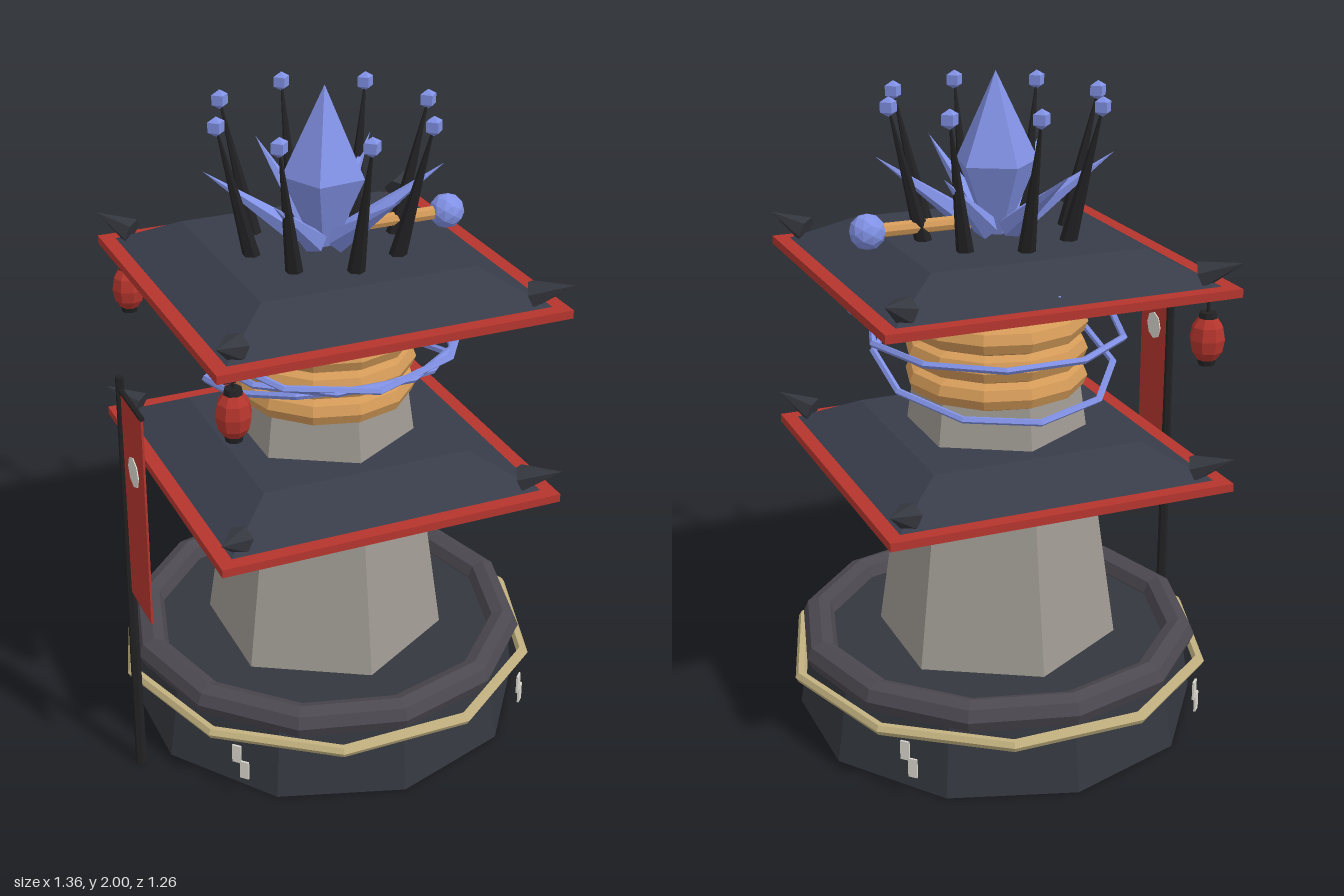
import * as THREE from 'three';

const mat = (color, opts = {}) => new THREE.MeshStandardMaterial({ color, flatShading: true, ...opts });
const STONE = mat(0x9f9a92), BASE = mat(0x34373e), TRIM = mat(0x4c4850), BRASS = mat(0xc2b180);
const ROOF = mat(0x383c4a), RED = mat(0xb5352d), AMBER = mat(0xd39a58), BLUE = mat(0x8292e6);
const BLACK = mat(0x222224), PALE = mat(0xdcd9d0), CLOTH = mat(0xb5352d, { side: THREE.DoubleSide });
const UP = new THREE.Vector3(0, 1, 0);

export function createModel() {
  const root = new THREE.Group();
  root.name = 'tower';
  const body = new THREE.Group();
  body.name = 'towerBody';
  body.position.x = 0.017;
  root.add(body);

  const add = (name, geo, material, x = 0, y = 0, z = 0, parent = body) => {
    const m = new THREE.Mesh(geo, material);
    m.name = name;
    m.position.set(x, y, z);
    parent.add(m);
    return m;
  };
  // Upright cylinder or frustum between two heights
  const drum = (name, rTop, rBottom, y0, y1, sides, material, x = 0, z = 0, parent = body) =>
    add(name, new THREE.CylinderGeometry(rTop, rBottom, y1 - y0, sides), material, x, (y0 + y1) / 2, z, parent);
  // Lying ring, vertices on the x axis
  const ring = (name, radius, tube, y, tubeSides, sides, material) =>
    add(name, new THREE.TorusGeometry(radius, tube, tubeSides, sides).rotateX(Math.PI / 2), material, 0, y, 0);
  // Tapered rod from a to b
  const rod = (name, a, b, ra, rb, sides, material) => {
    const from = new THREE.Vector3(...a), to = new THREE.Vector3(...b);
    const dir = to.clone().sub(from);
    const m = add(name, new THREE.CylinderGeometry(rb, ra, dir.length(), sides), material);
    m.position.copy(from).add(to).multiplyScalar(0.5);
    m.quaternion.setFromUnitVectors(UP, dir.normalize());
    return m;
  };

  // Base and its rings
  drum('base', 0.585, 0.624, 0, 0.25, 10, BASE);
  ring('baseTrim', 0.573, 0.05, 0.254, 8, 12, TRIM);
  ring('baseBand', 0.644, 0.018, 0.198, 6, 10, BRASS);

  // Floating zigzag marks on the four diagonals
  for (let i = 0; i < 4; i++) {
    const mark = new THREE.Group();
    mark.name = 'baseMark';
    mark.rotation.y = Math.PI / 4 + i * Math.PI / 2;
    body.add(mark);
    add('markUpper', new THREE.BoxGeometry(0.028, 0.06, 0.006), PALE, -0.012, 0.16, 0.658, mark);
    add('markLower', new THREE.BoxGeometry(0.028, 0.06, 0.006), PALE, 0.012, 0.107, 0.658, mark);
  }

  // Tower shaft and neck
  drum('shaft', 0.253, 0.372, 0.25, 1.08, 6, STONE);
  drum('neck', 0.2, 0.2, 1.06, 1.45, 12, TRIM);
  for (let i = 0; i < 4; i++) ring('neckRing', 0.233, 0.042, 1.1 + i * 0.084, 8, 12, AMBER);

  // Three thin hoops around the neck, the outer two tilted
  ring('middleHoop', 0.385, 0.011, 1.235, 5, 10, BLUE);
  for (const [radius, y, z, tilt] of [[0.437, 1.342, -0.025, 0.25], [0.362, 1.142, 0.015, -0.25]]) {
    const hoop = add('tiltedHoop',
      new THREE.TorusGeometry(radius, 0.011, 5, 10).rotateZ(Math.PI / 2).rotateX(Math.PI / 2), BLUE, 0, y, z);
    hoop.rotation.x = tilt;
  }

  // Two square roofs with corner spikes
  for (const y of [0.827, 1.416]) {
    add('roofEave', new THREE.BoxGeometry(1.054, 0.025, 1.054), RED, 0, y + 0.0125, 0);
    const q = Math.SQRT2;
    drum('roofTop', 0.324 * q, 0.485 * q, y + 0.024, y + 0.113, 4, ROOF).rotation.y = Math.PI / 4;
    for (const sx of [-1, 1]) for (const sz of [-1, 1])
      rod('cornerSpike', [sx * 0.443, y + 0.055, sz * 0.443], [sx * 0.527, y + 0.1, sz * 0.527], 0.042, 0, 6, BASE);
  }

  // Lanterns under the upper roof
  for (const z of [-0.458, 0.458]) {
    const lantern = new THREE.Group();
    lantern.name = 'lantern';
    lantern.position.set(-0.458, 0, z);
    body.add(lantern);
    drum('lanternCord', 0.005, 0.005, 1.35, 1.418, 5, BLACK, 0, 0, lantern);
    drum('lanternCap', 0.024, 0.028, 1.345, 1.363, 8, BLACK, 0, 0, lantern);
    drum('lanternFoot', 0.028, 0.024, 1.207, 1.225, 8, BLACK, 0, 0, lantern);
    add('lanternBody', new THREE.SphereGeometry(0.052, 8, 6).scale(1, 1.42, 1), RED, 0, 1.285, 0, lantern);
  }

  // Central crystal
  drum('crystalTop', 0, 0.125, 1.74, 2, 5, BLUE).rotation.y = 0.75;
  drum('crystalBottom', 0.125, 0.03, 1.52, 1.74, 5, BLUE).rotation.y = 0.75;

  // Shards leaning out around the crystal
  for (let i = 0; i < 6; i++) {
    const a = 0.29 + i * Math.PI / 3, c = Math.cos(a), s = Math.sin(a);
    rod('shard', [c * 0.07, 1.56, s * 0.07], [c * 0.345, 1.76, s * 0.345], 0.037, 0, 5, BLUE);
  }

  // Crown of dark spikes with beads at their tips
  for (let i = 0; i < 8; i++) {
    const a = i * Math.PI / 4, c = Math.cos(a), s = Math.sin(a);
    rod('crownSpike', [c * 0.22, 1.505, s * 0.22], [c * 0.32, 1.91, s * 0.32], 0.027, 0.003, 6, BLACK);
    add('crownBead', new THREE.SphereGeometry(0.029, 4, 3), BLUE, c * 0.322, 1.92, s * 0.322);
  }

  // Wand lying across the roof
  rod('wandShaft', [0.05, 1.57, 0], [0.37, 1.57, 0], 0.021, 0.021, 8, AMBER);
  add('wandOrb', new THREE.IcosahedronGeometry(0.053, 1), BLUE, 0.393, 1.57, 0);

  // Banner on its pole
  const px = -0.687, pz = 0.185;
  drum('bannerPole', 0.012, 0.017, 0, 1.315, 6, BLACK, px, pz);
  rod('bannerBar', [px, 1.277, pz], [px, 1.277, 0.378], 0.008, 0.008, 6, BLACK);
  add('bannerCloth', new THREE.BoxGeometry(0.006, 0.645, 0.18), CLOTH, px, 0.95, 0.288);
  add('bannerDisc', new THREE.CylinderGeometry(0.045, 0.045, 0.012, 8).rotateZ(Math.PI / 2), PALE, px, 1.07, 0.288);

  return root;
}
